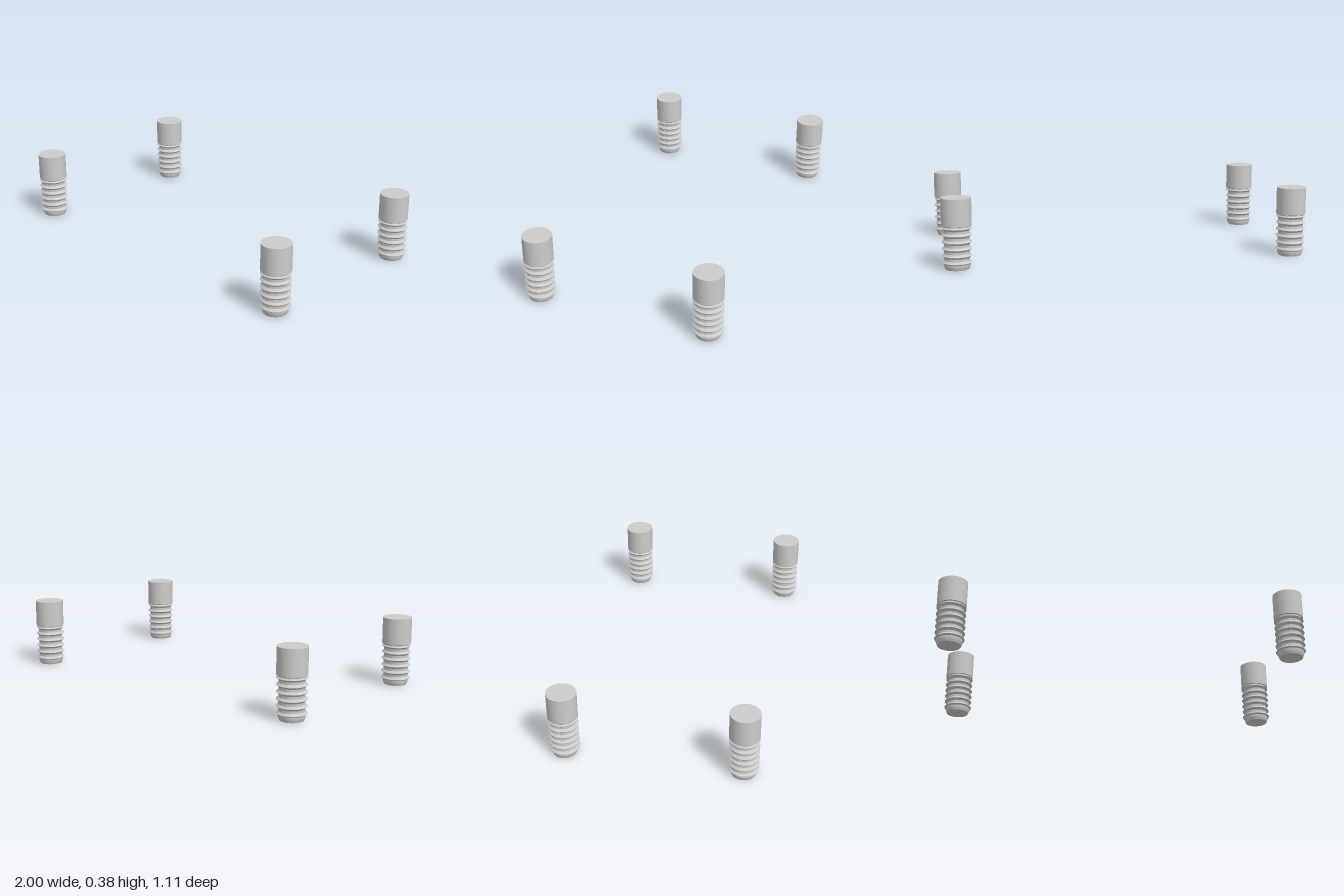
import * as THREE from 'three';
import { toCreasedNormals } from 'three/addons/utils/BufferGeometryUtils.js';

const RADIUS = 0.08;      // head and thread crests
const ROOT = 0.068;       // core between the threads
const HEAD_BOTTOM = 0.232;
const HEAD_TOP = 0.38;
const PITCH = 0.0367;
const RINGS = 6;

function lathe(points, material, name) {
  const profile = points.map(([r, y]) => new THREE.Vector2(r, y));
  const geometry = toCreasedNormals(new THREE.LatheGeometry(profile, 48), 0.5);
  const mesh = new THREE.Mesh(geometry, material);
  mesh.name = name;
  return mesh;
}

// Profile of the ribbed shank, from the tapered tip up to the head
function shankProfile() {
  const points = [[0, 0], [0.063, 0], [0.067, 0.01], [0.071, 0.022], [0.071, 0.03]];
  for (let i = 1; i <= RINGS; i++) {
    const y = i * PITCH;
    if (i > 1) points.push([ROOT, y - 0.012], [0.071, y - 0.007]);
    points.push([RADIUS, y - 0.001], [RADIUS, y + 0.001]);
    if (i < RINGS) points.push([0.071, y + 0.007], [ROOT, y + 0.012]);
  }
  points.push([0.073, 0.226], [0.073, HEAD_BOTTOM]);
  return points;
}

export function createModel() {
  const model = new THREE.Group();
  model.name = 'threadedPegs';
  const material = new THREE.MeshStandardMaterial({ color: 0xcccccc });

  const shank = lathe(shankProfile(), material, 'threadedShank');
  const head = lathe(
    [[0, HEAD_BOTTOM], [RADIUS - 0.002, HEAD_BOTTOM], [RADIUS, HEAD_BOTTOM + 0.002],
      [RADIUS, HEAD_TOP], [0, HEAD_TOP]],
    material, 'head');

  // One peg at each corner
  for (const [side, sx] of [['Left', 1], ['Right', -1]]) {
    for (const [end, sz] of [['front', 1], ['back', -1]]) {
      const peg = new THREE.Group();
      peg.name = `${end}${side}Peg`;
      peg.add(shank.clone(), head.clone());
      peg.position.set(sx * 0.92, 0, sz * 0.476);
      model.add(peg);
    }
  }
  return model;
}
